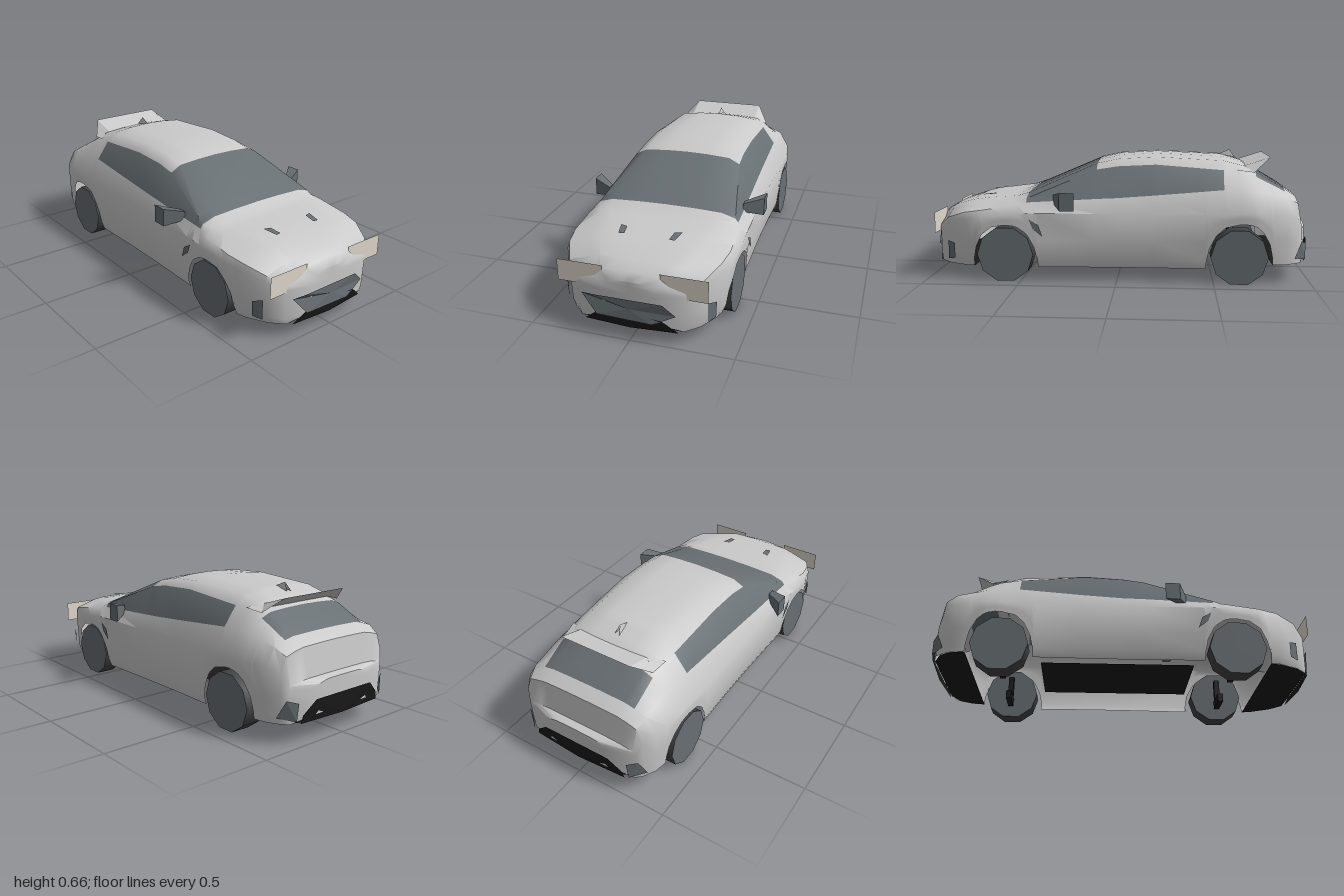
import * as THREE from 'three';
import { toCreasedNormals } from 'three/addons/utils/BufferGeometryUtils.js';

const mat = (name, color, side = THREE.DoubleSide) =>
  new THREE.MeshStandardMaterial({ name, color, side });

// Body key sections: z, half width, shoulder y, belt x, belt y, edge x, edge y, centre y
const SECTIONS = [
  [0.988, 0.13, 0.24, 0.125, 0.265, 0.09, 0.285, 0.305],
  [0.96, 0.27, 0.25, 0.265, 0.27, 0.18, 0.295, 0.34],
  [0.90, 0.335, 0.29, 0.33, 0.32, 0.22, 0.355, 0.37],
  [0.80, 0.39, 0.32, 0.378, 0.355, 0.26, 0.39, 0.40],
  [0.70, 0.414, 0.335, 0.395, 0.37, 0.28, 0.405, 0.417],
  [0.54, 0.42, 0.35, 0.39, 0.395, 0.33, 0.42, 0.433],
  [0.47, 0.419, 0.36, 0.375, 0.41, 0.36, 0.43, 0.46],
  [0.11, 0.41, 0.36, 0.365, 0.43, 0.29, 0.575, 0.615],
  [0, 0.408, 0.36, 0.36, 0.435, 0.285, 0.592, 0.64],
  [-0.2, 0.408, 0.36, 0.355, 0.45, 0.285, 0.602, 0.652],
  [-0.55, 0.413, 0.36, 0.35, 0.48, 0.28, 0.575, 0.637],
  [-0.66, 0.415, 0.37, 0.345, 0.48, 0.275, 0.56, 0.605],
  [-0.72, 0.413, 0.37, 0.34, 0.475, 0.27, 0.54, 0.57],
  [-0.87, 0.385, 0.36, 0.335, 0.445, 0.27, 0.465, 0.48],
  [-0.93, 0.35, 0.33, 0.32, 0.41, 0.27, 0.425, 0.44],
  [-0.955, 0.322, 0.26, 0.312, 0.28, 0.25, 0.29, 0.295],
  [-0.992, 0.17, 0.25, 0.165, 0.27, 0.13, 0.28, 0.285],
];
const WHEEL_Z = [0.58, -0.63];
const ARCH = 0.17;

// Linear lookup in a table whose first column falls
function lookup(table, z) {
  let i = 0;
  while (i < table.length - 2 && z < table[i + 1][0]) i++;
  const a = table[i], b = table[i + 1];
  const t = THREE.MathUtils.clamp((a[0] - z) / (a[0] - b[0]), 0, 1);
  return a.map((v, k) => v + (b[k] - v) * t);
}

// Lower edge of the shell, raised over the wheels
function lowerEdge(z) {
  const base = lookup([[0.988, 0.1], [0.96, 0.07], [-0.46, 0.075], [-0.8, 0.1], [-0.97, 0.1], [-0.992, 0.13]], z)[1];
  let y = base;
  for (const c of WHEEL_Z) {
    const u = Math.abs(z - c) / ARCH;
    if (u < 1) y = Math.max(y, base + 0.225 * Math.sqrt(1 - u ** 2.6));
  }
  return y;
}

// One half section from the sill to the centre line
function halfSection(z) {
  const [, w, ys, xb, yb, xr, yr, yc] = lookup(SECTIONS, z);
  const low = lowerEdge(z), pts = [];
  for (const t of [0, 0.15, 0.5, 1]) {
    const y = low + (ys - low) * t;
    const f = lookup([[-0.07, 0.93], [-0.1, 0.97], [-0.25, 1], [-0.6, 1]], -y)[1];
    pts.push([w * f, y]);
  }
  pts.push([xb, yb], [xr, yr], [xr * 0.8, yr + (yc - yr) * 0.72],
    [xr * 0.4, yr + (yc - yr) * 0.93], [0, yc]);
  return pts;
}

// Lofted shell; the glass is picked out by cell
function bodyGeometry() {
  const zs = SECTIONS.map(s => s[0]);
  for (const c of WHEEL_Z)
    for (const u of [-1, -0.985, -0.9, -0.7, -0.4, 0, 0.4, 0.7, 0.9, 0.985, 1]) zs.push(c + u * ARCH);
  zs.sort((a, b) => b - a);
  const rings = zs.map(z => {
    const half = halfSection(z);
    const other = half.slice(0, -1).reverse().map(([x, y]) => [-x, y]);
    return [...half, ...other].map(([x, y]) => [x, y, z]);
  });
  // Collapsed rings close the nose and tail
  const flat = ring => ring.map(([, y, z]) => [0, y, z]);
  rings.unshift(flat(rings[0]));
  rings.push(flat(rings[rings.length - 1]));

  const n = rings[0].length, paint = [], glass = [];
  for (let i = 0; i < rings.length - 1; i++) {
    const z = (rings[i][0][2] + rings[i + 1][0][2]) / 2;
    for (let j = 0; j < n - 1; j++) {
      const k = Math.min(j, n - 2 - j);
      const sideWindow = k === 4 && z < 0.47 && z > -0.55;
      const screen = k >= 5 && ((z < 0.47 && z > 0.11) || (z < -0.72 && z > -0.87));
      const a = i * n + j, c = a + n;
      (sideWindow || screen ? glass : paint).push(a, c, a + 1, a + 1, c, c + 1);
    }
  }
  const g = new THREE.BufferGeometry();
  g.setAttribute('position', new THREE.Float32BufferAttribute(rings.flat(2), 3));
  g.setIndex([...paint, ...glass]);
  g.addGroup(0, paint.length, 0);
  g.addGroup(paint.length, glass.length, 1);
  return toCreasedNormals(g, 0.7);
}

// Flat or folded plate fanned out from its first point
function plate(name, pts, material) {
  const tris = [];
  for (let i = 1; i < pts.length - 1; i++) tris.push(pts[0], pts[i], pts[i + 1]);
  const g = new THREE.BufferGeometry();
  g.setAttribute('position', new THREE.Float32BufferAttribute(tris.flat(), 3));
  g.computeVertexNormals();
  const m = new THREE.Mesh(g, material);
  m.name = name;
  return m;
}
const flip = pts => pts.map(([x, y, z]) => [-x, y, z]);
// Symmetric outline from its left half
const symmetric = pts => [...pts, ...flip(pts).reverse()];

export function createModel() {
  const car = new THREE.Group();
  car.name = 'car';
  const paint = mat('bodyPaint', 0xcacaca);
  const glass = mat('greyGlass', 0x686f73);
  const tread = mat('tyreRubber', 0x424344, THREE.FrontSide);
  const black = mat('blackTrim', 0x1a1a1a);
  const lamp = mat('headlightBeige', 0xe0d9cd);

  const add = (name, geometry, material, x = 0, y = 0, z = 0) => {
    const m = new THREE.Mesh(geometry, material);
    m.name = name;
    m.position.set(x, y, z);
    car.add(m);
  };
  const addPlate = (name, pts, material) => car.add(plate(name, pts, material));
  const addPair = (name, pts, material) => {
    addPlate(name + 'Left', pts, material);
    addPlate(name + 'Right', flip(pts), material);
  };

  add('bodyShell', bodyGeometry(), [paint, glass]);

  // Wheels with suspension arms
  const wheel = new THREE.CylinderGeometry(0.147, 0.147, 0.104, 10).rotateZ(Math.PI / 2);
  for (const z of WHEEL_Z)
    for (const s of [1, -1]) {
      add('wheel', wheel, [tread, glass, glass], s * 0.357, 0.14, z);
      add('suspensionArm', new THREE.BoxGeometry(0.14, 0.045, 0.03), black, s * 0.21, 0.078, z);
      add('suspensionStrut', new THREE.BoxGeometry(0.03, 0.14, 0.03), black, s * 0.25, 0.15, z);
    }

  // Underside
  addPlate('floorPan', symmetric([[0.215, 0.12, 0.38], [0.215, 0.12, -0.43]]), black);
  addPlate('frontUndertray', symmetric(
    [[0.37, 0.07, 0.75], [0.361, 0.07, 0.8], [0.31, 0.07, 0.9], [0.25, 0.07, 0.96]]), black);
  addPlate('rearUndertray', symmetric(
    [[0.385, 0.1, -0.8], [0.37, 0.1, -0.87], [0.335, 0.1, -0.93], [0.25, 0.1, -0.97]]), black);

  // Nose: intake, faceted grille, lamps and ducts
  addPlate('lowerIntake', symmetric(
    [[0, 0.066, 0.992], [0.23, 0.066, 0.974], [0.155, 0.13, 0.996], [0, 0.14, 0.996]]), black);
  addPlate('grille', [[0, 0.165, 0.996], [-0.24, 0.206, 0.98], [-0.16, 0.114, 0.999], [0.11, 0.105, 1],
    [0.22, 0.16, 0.987], [0.16, 0.214, 0.997], [-0.17, 0.214, 0.997], [-0.24, 0.206, 0.98]], glass);
  for (const s of [1, -1])
    add('headlight', new THREE.PlaneGeometry(0.225, 0.11), lamp, s * 0.2525, 0.295, 0.961);
  addPair('fogDuct', [[0.375, 0.19, 0.855], [0.347, 0.2, 0.897], [0.347, 0.1, 0.897], [0.372, 0.11, 0.855]], glass);
  addPair('hoodVent', [[0.12, 0.424, 0.69], [0.155, 0.424, 0.68], [0.14, 0.416, 0.755], [0.112, 0.416, 0.75]], glass);
  addPair('fenderVent', [[0.424, 0.33, 0.45], [0.424, 0.3, 0.4], [0.424, 0.24, 0.38], [0.424, 0.28, 0.43]], glass);

  // Tail: diffuser and corner ducts
  addPlate('rearDiffuser', symmetric(
    [[0, 0.1, -0.996], [0.27, 0.1, -0.98], [0.26, 0.14, -0.985], [0.19, 0.205, -1], [0, 0.205, -1]]), black);
  addPair('rearDuct', [[0.335, 0.215, -0.952], [0.285, 0.2, -0.982], [0.295, 0.115, -0.98], [0.362, 0.13, -0.915]], glass);

  // Mirrors: boxes that widen outwards and sweep back
  for (const s of [1, -1]) {
    const g = new THREE.BoxGeometry(0.1, 1, 1).toNonIndexed();
    const p = g.attributes.position;
    for (let i = 0; i < p.count; i++) {
      const outer = p.getX(i) * s > 0;
      p.setY(i, p.getY(i) * (outer ? 0.092 : 0.045));
      p.setZ(i, p.getZ(i) * (outer ? 0.075 : 0.04) + (outer ? -0.022 : 0.04));
    }
    g.computeVertexNormals();
    add('mirror', g, glass, s * 0.415, 0.427, 0.27);
  }

  // Spoiler: blade rising from the roof edge with ends folded down
  const lip = [0.2, 0.637, -0.8], front = [0.2, 0.592, -0.665], under = [0.2, 0.58, -0.7];
  addPlate('spoilerTop', symmetric([front, lip]), paint);
  addPlate('spoilerUnderside', symmetric([under, lip]), paint);
  addPair('spoilerEnd', [front, lip, [0.265, 0.562, -0.71], [0.28, 0.575, -0.62]], paint);
  addPair('spoilerEndInner', [under, lip, [0.265, 0.562, -0.71]], paint);

  // Roof aerial
  addPair('aerial', [[0, 0.663, -0.6], [0, 0.637, -0.54], [0.014, 0.62, -0.63]], paint);
  return car;
}
